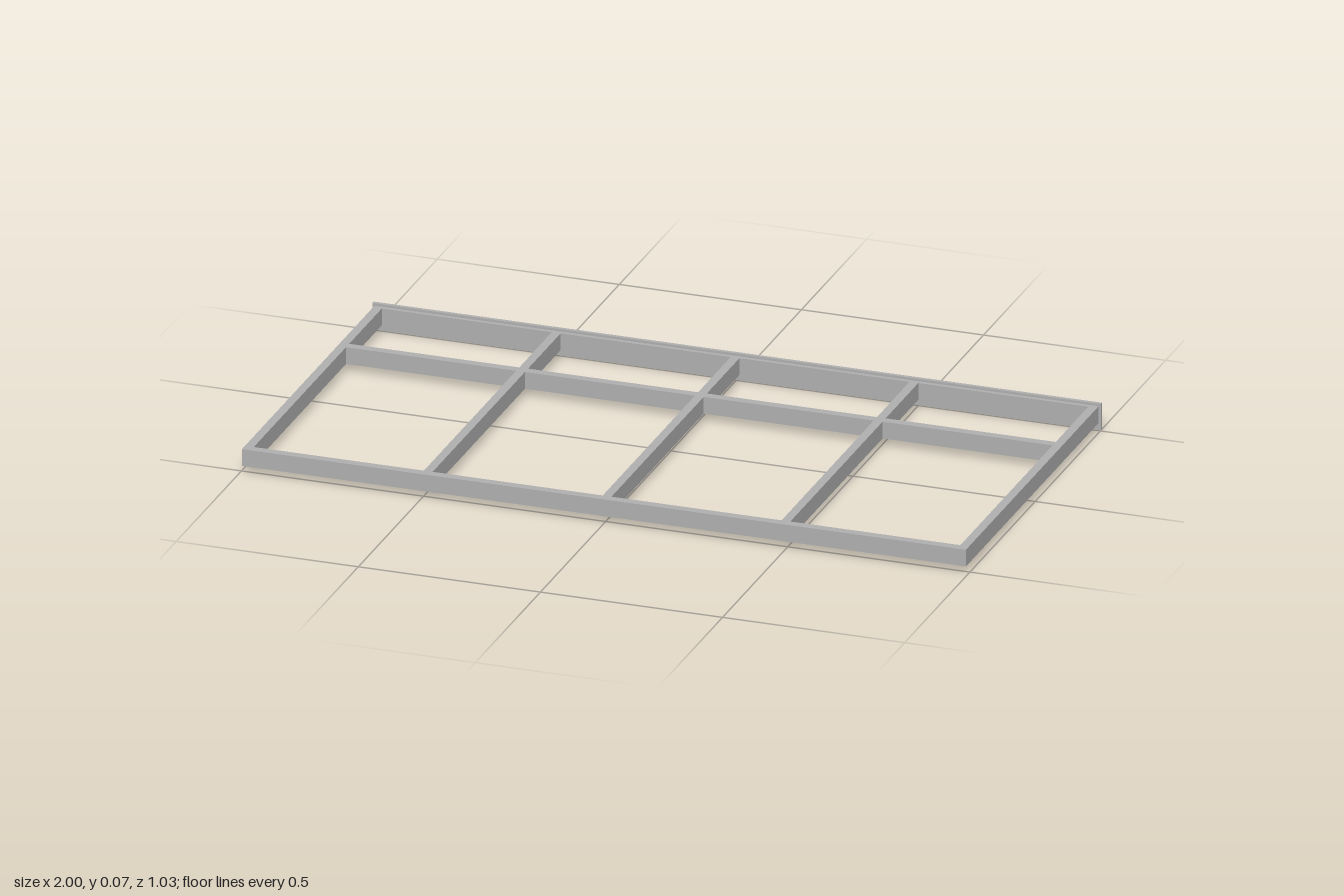
import * as THREE from 'three';

export function createModel() {
  const model = new THREE.Group();
  model.name = 'deckFrame';
  const grey = new THREE.MeshStandardMaterial({ color: 0xb0b0b0 });
  grey.name = 'grey';

  // Box given by its limits on each axis
  function board(name, x0, x1, y0, y1, z0, z1) {
    const mesh = new THREE.Mesh(new THREE.BoxGeometry(x1 - x0, y1 - y0, z1 - z0), grey);
    mesh.position.set((x0 + x1) / 2, (y0 + y1) / 2, (z0 + z1) / 2);
    mesh.name = name;
    model.add(mesh);
  }

  const low = 0.02, high = 0.067; // frame underside and top
  const half = 0.012;             // half the timber thickness
  const back = -0.503, front = 0.513;
  const joistX = [-0.982, -0.491, 0, 0.491, 0.982];

  // Wide ledger plate at the back and the full-width front rail
  board('ledgerPlate', -1, 1, 0, 0.074, -0.513, back);
  board('frontRail', -0.994, 0.994, low, high, front - 2 * half, front);

  // Joists running from the ledger to the front rail
  joistX.forEach((x) => board('joist', x - half, x + half, low, high, back, front - 2 * half));

  // Blocking and thin back rail in each bay
  for (let i = 0; i < joistX.length - 1; i++) {
    const x0 = joistX[i] + half, x1 = joistX[i + 1] - half;
    board('blocking', x0, x1, low, high, -0.23 - half, -0.23 + half);
    board('backRail', x0, x1, low, high, back, -0.492);
  }
  return model;
}
